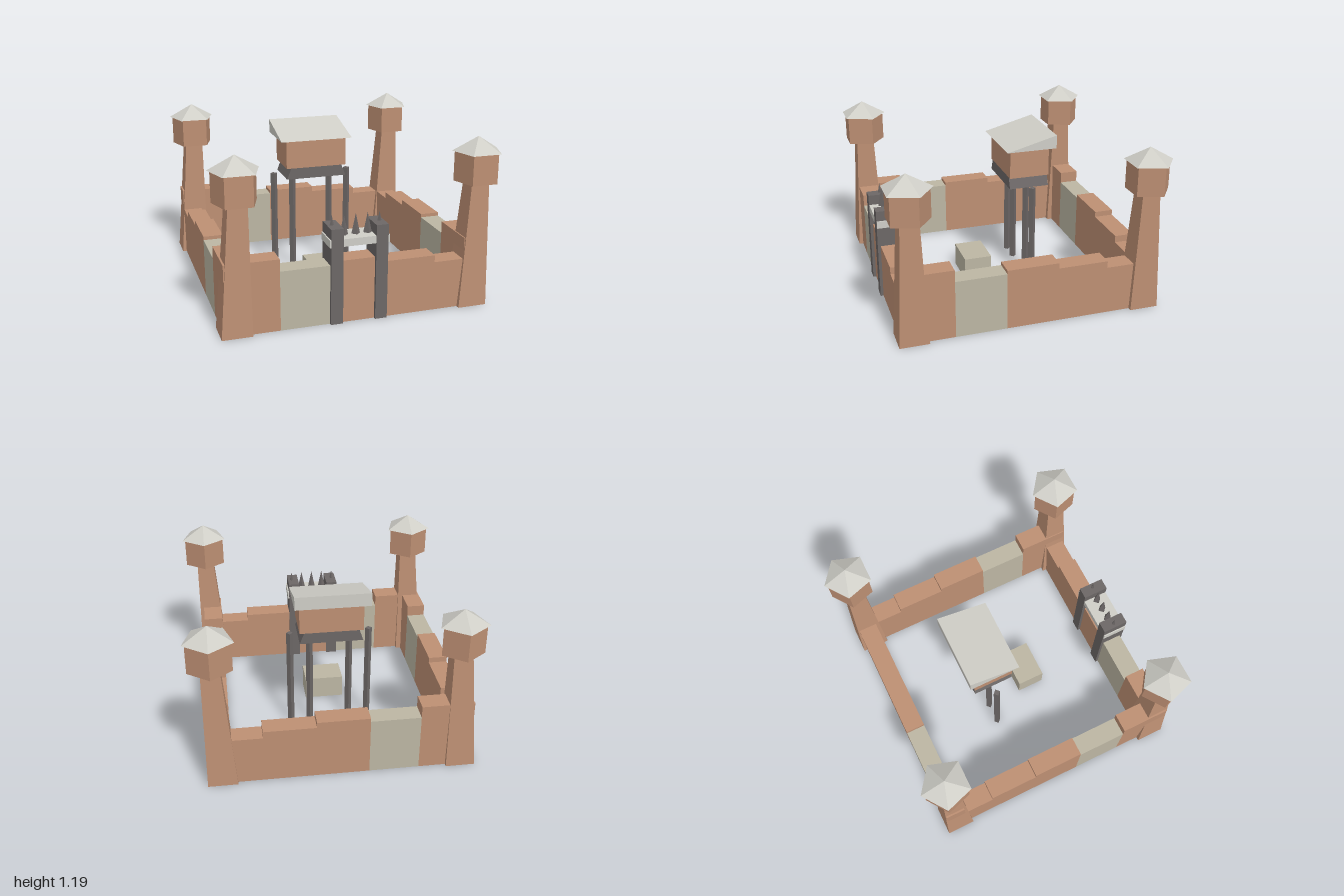
import * as THREE from 'three';

const mat = (name, color) => new THREE.MeshStandardMaterial({ name, color, flatShading: true });

export function createModel() {
  const brown = mat('clay brown', 0xbd8f73);
  const stone = mat('grey stone', 0xbcb6a3);
  const pale = mat('pale roof', 0xcfcec7);
  const dark = mat('dark timber', 0x6c6766);

  const model = new THREE.Group();
  model.name = 'walledFort';

  const add = (parent, name, geometry, material, x = 0, y = 0, z = 0) => {
    const mesh = new THREE.Mesh(geometry, material);
    mesh.name = name;
    mesh.position.set(x, y, z);
    parent.add(mesh);
    return mesh;
  };
  const group = (name) => {
    const g = new THREE.Group();
    g.name = name;
    model.add(g);
    return g;
  };
  // Box given by its limits on each axis
  const block = (parent, name, material, [x0, x1], [y0, y1], [z0, z1]) =>
    add(parent, name, new THREE.BoxGeometry(x1 - x0, y1 - y0, z1 - z0), material,
      (x0 + x1) / 2, (y0 + y1) / 2, (z0 + z1) / 2);
  // Box standing on y = 0 whose top is scaled and shifted along x
  const taperedBox = (w, h, d, topX, topZ, shift = 0) => {
    const g = new THREE.BoxGeometry(w, h, d).translate(0, h / 2, 0);
    const p = g.attributes.position;
    for (let i = 0; i < p.count; i++) {
      if (p.getY(i) > h / 2) {
        p.setX(i, p.getX(i) * topX + shift);
        p.setZ(i, p.getZ(i) * topZ);
      }
    }
    return g;
  };

  // Stepped walls: five segments each, the second one of stone
  const heights = [0.5, 0.415, 0.44, 0.4, 0.35];
  const xCuts = [-0.938, -0.57, -0.22, 0.147, 0.512, 0.868];
  const zCuts = [0.917, 0.557, 0.197, -0.172, -0.528, -0.89];
  const wallsX = { frontWall: [0.773, 0.917], backWall: [-0.89, -0.75] };
  const wallsZ = { rightHandWall: [-0.938, -0.8], leftHandWall: [0.727, 0.868] };
  for (const [name, span] of Object.entries(wallsX)) {
    const g = group(name);
    heights.forEach((h, i) => block(g, 'wallSegment', i === 1 ? stone : brown,
      [xCuts[i], xCuts[i + 1]], [0, h], span));
  }
  for (const [name, span] of Object.entries(wallsZ)) {
    const g = group(name);
    heights.forEach((h, i) => block(g, 'wallSegment', i === 1 ? stone : brown,
      span, [0, h], [zCuts[i + 1], zCuts[i]]));
  }

  // Corner towers: leaning square shaft, five-sided lookout and roof
  for (const x of [-0.83, 0.83]) {
    for (const z of [-0.813, 0.845]) {
      const tower = group('cornerTower');
      tower.position.set(x, 0, z);
      add(tower, 'towerShaft', taperedBox(0.206, 0.88, 0.206, 0.62, 0.62, 0.034), brown, -0.034);
      add(tower, 'towerLookout',
        new THREE.CylinderGeometry(0.155, 0.155, 0.21, 5, 1, false, Math.PI), brown, 0, 0.985, 0);
      add(tower, 'towerRoof',
        new THREE.ConeGeometry(0.175, 0.102, 5, 1, false, Math.PI), pale, 0, 1.139, 0);
    }
  }

  // Gate: posts, crossbeam and a row of spikes
  const gate = group('gate');
  for (const x of [-0.19, 0.121]) {
    block(gate, 'gatePost', dark, [x - 0.042, x + 0.042], [0, 0.668], [0.752, 0.938]);
  }
  block(gate, 'gateBeam', pale, [-0.241, 0.173], [0.543, 0.595], [0.754, 0.936]);
  for (let i = -2; i <= 2; i++) {
    add(gate, 'gateSpike', new THREE.ConeGeometry(0.03, 0.14, 4), dark, -0.034 + i * 0.083, 0.665, 0.845);
  }

  // Watch hut on four stilts
  const hut = group('watchHut');
  for (const x of [-0.323, -0.18, 0.112, 0.255]) {
    add(hut, 'stilt', new THREE.CylinderGeometry(0.025, 0.025, 0.75, 4), dark, x, 0.375, -0.192);
  }
  add(hut, 'hutFloor', taperedBox(0.456, 0.082, 0.294, 0.86, 1), dark, -0.031, 0.733, -0.188);
  block(hut, 'hutCabin', brown, [-0.261, 0.198], [0.815, 1.028], [-0.335, -0.041]);

  // Wedge roof rising toward the back
  const wedge = new THREE.Shape([[0.008, 1.026], [0.38, 1.026], [0.38, 1.124]]
    .map(([a, b]) => new THREE.Vector2(a, b)));
  const roof = add(hut, 'hutRoof',
    new THREE.ExtrudeGeometry(wedge, { depth: 0.54, bevelEnabled: false }), pale, 0.235, 0, 0);
  roof.rotation.y = Math.PI / 2;
  roof.position.x = -0.305;

  // Stone block in the yard
  block(model, 'yardBlock', stone, [-0.178, 0.11], [0, 0.17], [0.077, 0.282]);

  return model;
}
